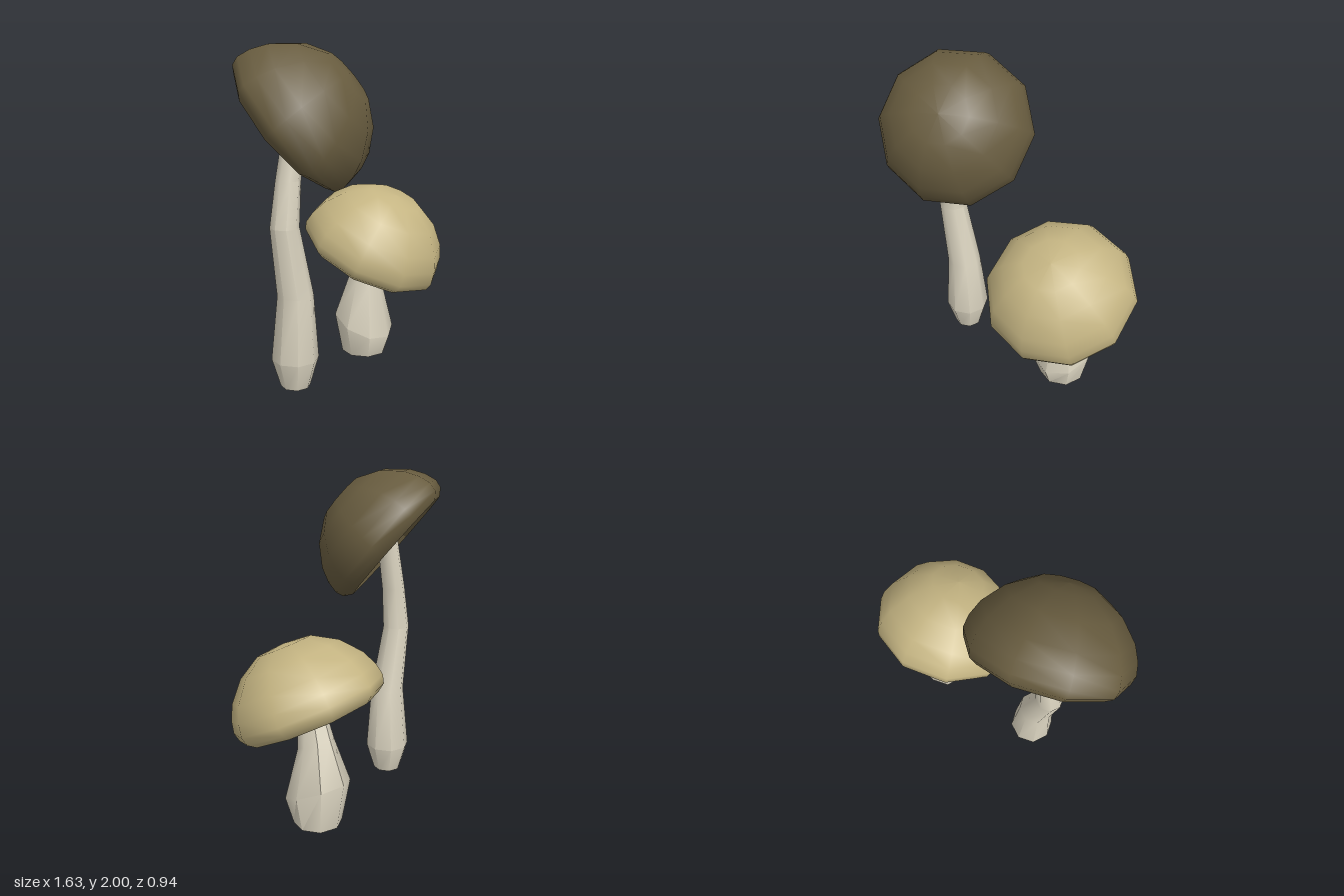
import * as THREE from 'three';
import { toCreasedNormals } from 'three/addons/utils/BufferGeometryUtils.js';

const paint = (name, color) => {
  const m = new THREE.MeshStandardMaterial({ color });
  m.name = name;
  return m;
};

const CAP_SIDES = 10;
const STEM_SIDES = 8;
const STEM_TURN = 0.14;

// Ten-sided lathe from [radius, height] pairs, listed from the underside upwards
function lathe(points, phase) {
  return new THREE.LatheGeometry(points.map(([r, y]) => new THREE.Vector2(r, y)), CAP_SIDES, phase);
}

// Eight-sided stem through rings [x, y, z, radius, slope], bottom to top
function stemGeometry(rings) {
  const last = rings.length - 1;
  const geo = new THREE.CylinderGeometry(1, 1, 1, STEM_SIDES, last, false, STEM_TURN);
  const p = geo.attributes.position;
  for (let i = 0; i < p.count; i++) {
    const [x, y, z, r, slope] = rings[Math.round((p.getY(i) + 0.5) * last)];
    const dx = p.getX(i) * r, dz = p.getZ(i) * r;
    p.setXYZ(i, x + dx, y - slope * dz, z + dz);
  }
  return toCreasedNormals(geo, 0.8);
}

// Outer skin of a cap: rounded lower lip, widest ring, then the dome
const SKIN = [
  [0.4, -0.115], [0.448, -0.08], [0.462, -0.03], [0.447, 0.045],
  [0.405, 0.135], [0.305, 0.25], [0.165, 0.333], [0, 0.348],
];

function mushroom(name, spec) {
  const group = new THREE.Group();
  group.name = name;
  const add = (parent, part, geo, mat) => {
    const mesh = new THREE.Mesh(geo, mat);
    mesh.name = part;
    parent.add(mesh);
  };
  add(group, 'stem', stemGeometry(spec.stem), spec.stemMat);

  // Cap tilted along its own axis, with gills sloping down to the stem
  const cap = new THREE.Group();
  cap.name = 'cap';
  cap.position.set(...spec.centre);
  cap.quaternion.setFromUnitVectors(new THREE.Vector3(0, 1, 0), new THREE.Vector3(...spec.axis).normalize());
  add(cap, 'capSkin', lathe(SKIN, spec.phase), spec.capMat);
  add(cap, 'capInnerLip', toCreasedNormals(lathe(spec.lip, spec.phase), 0.3), spec.lipMat);
  add(cap, 'gills', toCreasedNormals(lathe([[0, -0.085], spec.lip[0]], spec.phase), 0.05), spec.gillMat);
  group.add(cap);
  return group;
}

export function createModel() {
  const brown = paint('dark brown cap', 0x685c3f);
  const tan = paint('tan cap', 0xc4b482);
  const cream = paint('cream stem', 0xddd6c2);
  const grey = paint('grey gills', 0xc6c1b6);

  const model = new THREE.Group();
  model.name = 'mushrooms';

  model.add(mushroom('tallMushroom', {
    centre: [-0.388, 1.616, 0.072],
    axis: [0.4, 0.64, 0.66],
    phase: THREE.MathUtils.degToRad(15),
    lip: [[0.24, -0.03], [0.33, -0.05], [0.4, -0.115]],
    stem: [
      [-0.41, 0.045, 0.02, 0.087, 0],
      [-0.41, 0.215, 0.02, 0.138, 0],
      [-0.412, 0.6, 0.03, 0.105, 0],
      [-0.49, 1.01, 0.033, 0.083, 0],
      [-0.455, 1.27, 0.03, 0.072, 0],
      [-0.4, 1.65, 0.05, 0.062, 0],
    ],
    capMat: brown, lipMat: brown, gillMat: grey, stemMat: cream,
  }));

  model.add(mushroom('shortMushroom', {
    centre: [0.357, 0.757, -0.043],
    axis: [0.14, 1, 0.45],
    phase: THREE.MathUtils.degToRad(12),
    lip: [[0.31, -0.03], [0.4, -0.115]],
    stem: [
      [0.347, 0, -0.12, 0.145, 0],
      [0.345, 0.21, -0.12, 0.193, 0.42],
      [0.347, 0.5, -0.11, 0.107, 0.42],
      [0.352, 0.79, -0.06, 0.065, 0.42],
    ],
    capMat: tan, lipMat: grey, gillMat: grey, stemMat: cream,
  }));

  return model;
}
